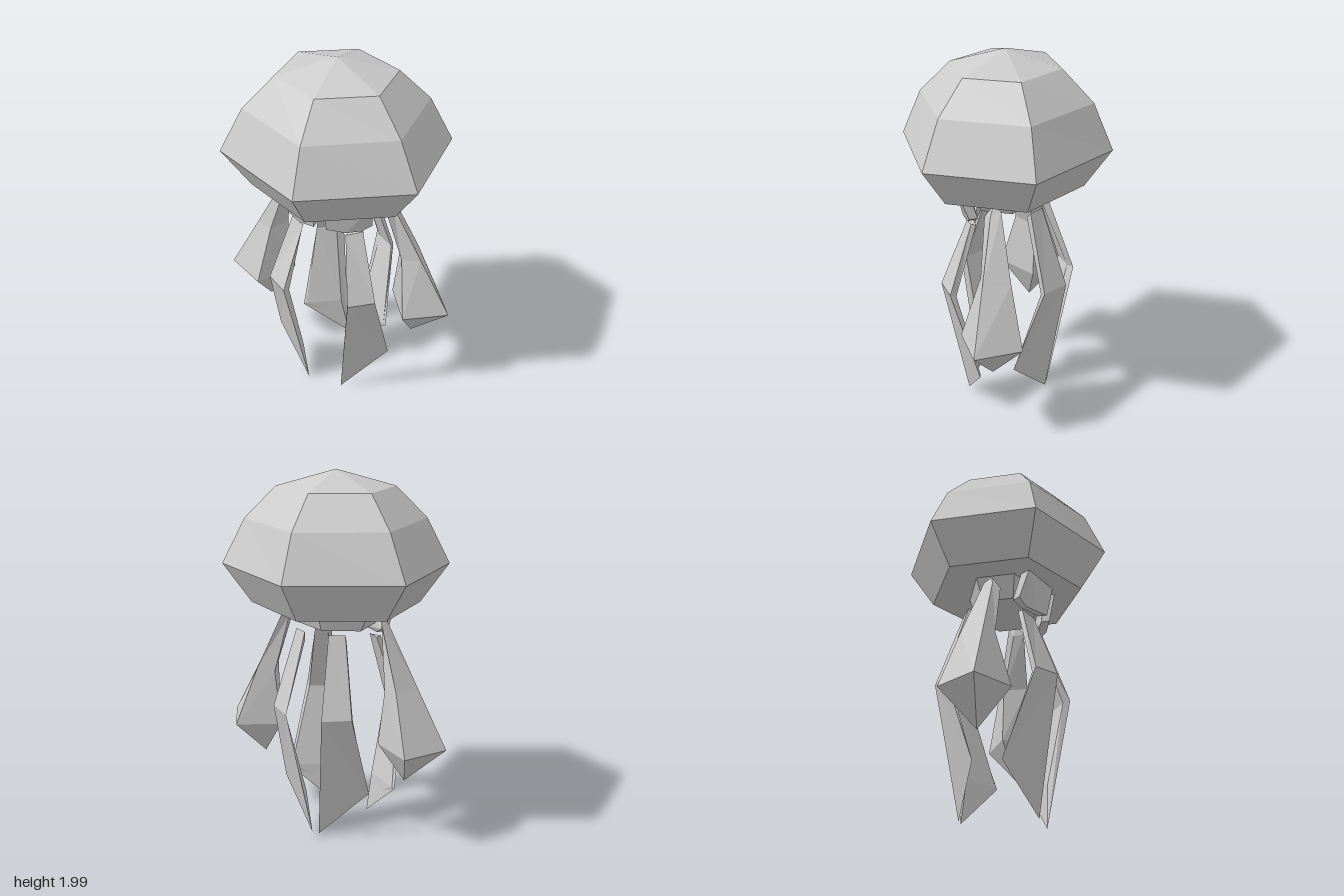
import * as THREE from 'three';
import { ConvexGeometry } from 'three/addons/geometries/ConvexGeometry.js';

const material = new THREE.MeshStandardMaterial({ color: 0xcccccc, flatShading: true });

// Skin a stack of rings (equal point counts) and close both ends with fans.
// Optional tips replace the flat end centres. Faces are turned outward.
function loft(rings, topTip, bottomTip) {
  const n = rings[0].length;
  const centre = (r) => [0, 1, 2].map((k) => r.reduce((s, p) => s + p[k], 0) / n);
  const top = topTip || centre(rings[0]);
  const bottom = bottomTip || centre(rings[rings.length - 1]);
  const tris = [];
  for (let i = 0; i < n; i++) {
    const j = (i + 1) % n;
    tris.push([top, rings[0][i], rings[0][j]]);
    for (let r = 0; r < rings.length - 1; r++) {
      const a = rings[r], b = rings[r + 1];
      tris.push([a[i], b[i], b[j]], [a[i], b[j], a[j]]);
    }
    const last = rings[rings.length - 1];
    tris.push([bottom, last[j], last[i]]);
  }
  const v = (p) => new THREE.Vector3(...p);
  const mid = v(centre(rings[0]));
  const volume = tris.reduce((s, [a, b, c]) =>
    s + v(a).sub(mid).dot(v(b).sub(mid).cross(v(c).sub(mid))), 0);
  if (volume < 0) tris.forEach((t) => t.reverse());
  const geometry = new THREE.BufferGeometry();
  geometry.setAttribute('position', new THREE.Float32BufferAttribute(tris.flat(2), 3));
  geometry.computeVertexNormals();
  return geometry;
}

// Six-sided ring with corners on the z axis
function hexRing(y, x, z) {
  return Array.from({ length: 6 }, (_, i) => {
    const a = (i * Math.PI) / 3;
    return [(Math.sin(a) * x) / Math.sin(Math.PI / 3), y, Math.cos(a) * z];
  });
}

export function createModel() {
  const group = new THREE.Group();
  const add = (name, geometry) => {
    const mesh = new THREE.Mesh(geometry, material);
    mesh.name = name;
    group.add(mesh);
  };

  // Domed bell with an inward-sloping skirt
  add('bell', loft([
    hexRing(1.915, 0.273, 0.29),
    hexRing(1.75, 0.415, 0.455),
    hexRing(1.51, 0.527, 0.56),
    hexRing(1.3, 0.395, 0.42),
  ], [0, 2, 0]));

  // Tapered core under the bell
  add('core', loft([hexRing(1.31, 0.25, 0.21), hexRing(1.185, 0.19, 0.167)]));

  for (const side of [1, -1]) {
    const label = side > 0 ? 'left' : 'right';
    const m = ([x, y, z]) => [x * side, y, z];
    const tentacle = (name, rings, top, bottom) =>
      add(label + name, loft(rings.map((r) => r.map(m)), top && m(top), bottom && m(bottom)));

    // Short bevelled lobe above the front tentacle
    add(label + 'FrontLobe', new ConvexGeometry([
      [0.265, 1.31, 0.19], [0.235, 1.31, 0.14], [0.03, 1.31, 0.27], [0.03, 1.31, 0.21],
      [0.25, 1.155, 0.13], [0.225, 1.155, 0.09], [0.035, 1.14, 0.235], [0.035, 1.14, 0.19],
      [0.2, 1.122, 0.155], [0.13, 1.122, 0.2], [0.18, 1.122, 0.13],
    ].map((p) => new THREE.Vector3(...m(p)))));

    // Broad side tentacle, swelling to a pointed club
    tentacle('SideTentacle', [
      [[0.31, 1.22, 0], [0.287, 1.2, 0.038], [0.28, 1.19, -0.02], [0.29, 1.24, -0.05]],
      [[0.48, 0.9, 0], [0.385, 0.9, 0.035], [0.335, 0.88, -0.09], [0.42, 0.9, -0.135]],
      [[0.655, 0.575, 0], [0.435, 0.575, 0.13], [0.3, 0.575, -0.09], [0.515, 0.575, -0.22]],
    ], [0.285, 1.27, -0.01], [0.435, 0.37, -0.04]);

    // Bent blade at the front: outer face pair, then inner face pair
    tentacle('FrontTentacle', [
      [[0.12, 1.09, 0.18], [0.2, 1.105, 0.135], [0.19, 1.1, 0.11], [0.13, 1.105, 0.145]],
      [[0.185, 0.725, 0.312], [0.308, 0.725, 0.225], [0.28, 0.71, 0.2], [0.17, 0.71, 0.275]],
      [[0.1, 0.01, 0.19], [0.335, 0.25, 0.058], [0.32, 0.26, 0.06], [0.13, 0.25, 0.19]],
    ]);

    // Bent blade at the back
    tentacle('BackTentacle', [
      [[0.07, 1.18, -0.215], [0.145, 1.18, -0.17], [0.14, 1.15, -0.15], [0.085, 1.13, -0.185]],
      [[0.105, 0.76, -0.36], [0.235, 0.76, -0.27], [0.23, 0.755, -0.25], [0.135, 0.755, -0.32]],
      [[0.02, 0.04, -0.24], [0.26, 0.28, -0.11], [0.245, 0.29, -0.115], [0.065, 0.28, -0.225]],
    ]);
  }
  return group;
}
